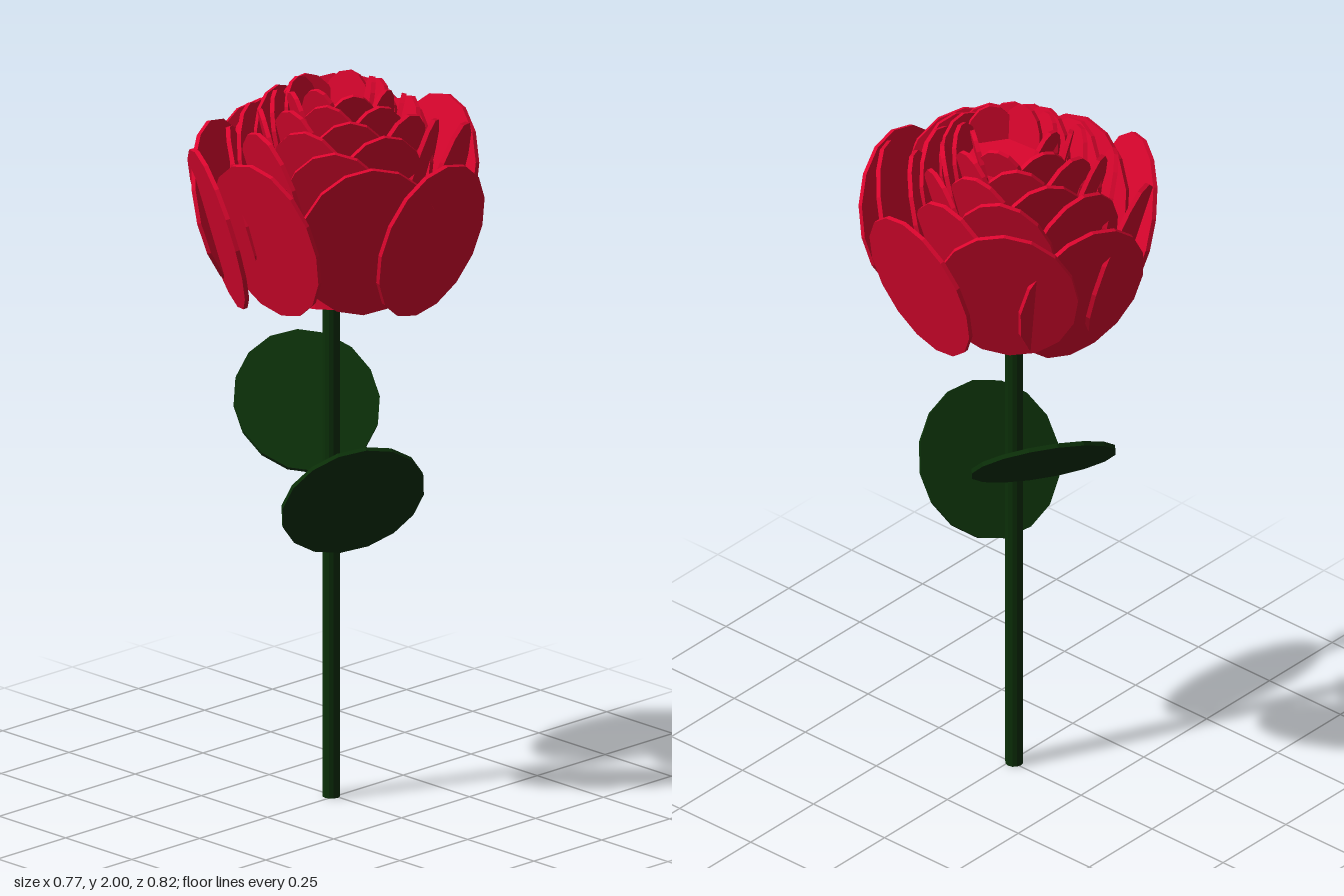
import * as THREE from 'three';

const red = new THREE.MeshStandardMaterial({ color: 0xdc052e, flatShading: true });
const green = new THREE.MeshStandardMaterial({ color: 0x0b2f08, flatShading: true });

// Flat, many-sided disc facing +z
const disc = new THREE.CylinderGeometry(1, 1, 1, 16).rotateX(Math.PI / 2);

function addMesh(parent, name, geometry, material) {
  const mesh = new THREE.Mesh(geometry, material);
  mesh.name = name;
  parent.add(mesh);
  return mesh;
}

// Petal at azimuth (degrees from +z towards +x), its top edge at radius and height
function addPetal(parent, name, azimuth, topRadius, topY, halfW, halfH, tilt, swirl) {
  const petal = addMesh(parent, name, disc, red);
  const a = THREE.MathUtils.degToRad(azimuth);
  const r = topRadius - halfH * Math.sin(tilt);
  petal.position.set(Math.sin(a) * r, topY - halfH * Math.cos(tilt), Math.cos(a) * r);
  petal.rotation.set(tilt, a - swirl, 0, 'YXZ');
  petal.scale.set(halfW, halfH, 0.012);
}

// Leaf disc centred at a point, facing along a normal
function addLeaf(parent, name, center, normal) {
  const leaf = addMesh(parent, name, disc, green);
  leaf.position.set(...center);
  leaf.lookAt(new THREE.Vector3(...center).add(new THREE.Vector3(...normal)));
  leaf.scale.set(0.195, 0.213, 0.012);
}

export function createModel() {
  const model = new THREE.Group();
  model.name = 'flower';

  const stem = addMesh(model, 'stem', new THREE.CylinderGeometry(0.024, 0.024, 1.44, 12), green);
  stem.position.set(-0.01, 0.72, 0.005);

  addLeaf(model, 'leftLeaf', [0.123, 0.867, 0.056], [-0.75, 0.54, -0.38]);
  addLeaf(model, 'rightLeaf', [-0.175, 1.042, -0.065], [0.56, 0.72, 0.39]);

  const bloom = new THREE.Group();
  bloom.name = 'bloom';
  model.add(bloom);

  // Solid heart that the petals wrap
  const core = addMesh(bloom, 'core', new THREE.CylinderGeometry(0.11, 0.2, 0.47, 24), red);
  core.position.y = 1.655;

  // Inner petals: golden-angle spiral, growing and sinking outwards
  const count = 32;
  for (let i = 0; i < count; i++) {
    const t = i / (count - 1);
    addPetal(
      bloom, 'innerPetal', i * 137.5 + 20,
      0.1 + 0.185 * t,
      1.995 - 0.09 * t - 0.035 * t * t,
      0.065 + 0.095 * t,
      0.1 + 0.13 * t,
      0.2 + 0.06 * t,
      0.28 - 0.12 * t
    );
  }

  // Outer petals: azimuth, top radius, top height
  const outer = [
    [178, 0.4, 1.865], [97, 0.38, 1.835], [-23, 0.39, 1.84],
    [-140, 0.382, 1.885], [-101, 0.365, 1.84], [-63, 0.355, 1.84],
    [126, 0.34, 1.89], [6, 0.34, 1.84], [64, 0.33, 1.85],
  ];
  for (const [azimuth, radius, top] of outer) {
    addPetal(bloom, 'outerPetal', azimuth, radius, top, 0.19, 0.228, 0.26, 0.1);
  }
  return model;
}
